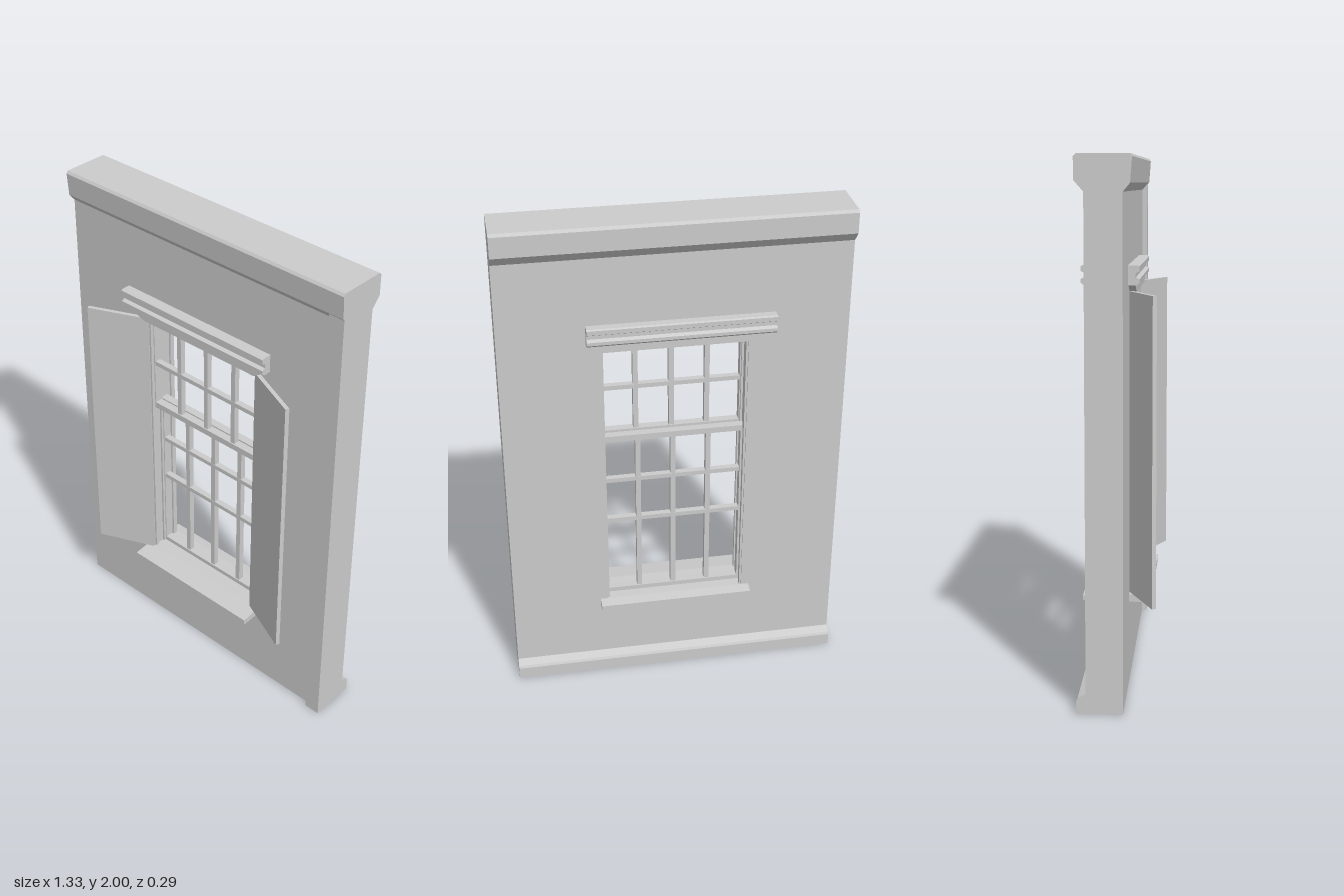
import * as THREE from 'three';

const material = new THREE.MeshStandardMaterial({ color: 0xcccccc, flatShading: true });

const HALF = 0.665;                    // half width of the wall
const FRONT = 0.035, BACK = -0.1;      // wall faces
const OPEN_X = 0.28, OPEN_LOW = 0.345, OPEN_HIGH = 1.5;

function addMesh(parent, name, geometry) {
  const mesh = new THREE.Mesh(geometry, material);
  mesh.name = name;
  parent.add(mesh);
  return mesh;
}

// Box given by its limits on each axis
function addBox(parent, name, x0, x1, y0, y1, z0, z1) {
  const mesh = addMesh(parent, name, new THREE.BoxGeometry(x1 - x0, y1 - y0, z1 - z0));
  mesh.position.set((x0 + x1) / 2, (y0 + y1) / 2, (z0 + z1) / 2);
  return mesh;
}

function polygon(points) {
  return new THREE.Shape(points.map(([a, b]) => new THREE.Vector2(a, b)));
}

// Moulding: a (z, y) profile run along x
function addMoulding(parent, name, profile, x0, x1) {
  const geometry = new THREE.ExtrudeGeometry(polygon(profile), { depth: x1 - x0, bevelEnabled: false });
  geometry.rotateY(-Math.PI / 2);
  geometry.translate(x1, 0, 0);
  return addMesh(parent, name, geometry);
}

// One sash: a rail at each end, stiles and glazing bars
function addSash(parent, name, rails, bars, z0, z1) {
  const sash = new THREE.Group();
  sash.name = name;
  const low = rails[0][0], high = rails[1][1];
  for (const [a, b] of rails) addBox(sash, 'sashRail', -OPEN_X, OPEN_X, a, b, z0, z1);
  for (const y of bars) addBox(sash, 'horizontalBar', -OPEN_X, OPEN_X, y - 0.009, y + 0.009, z0 + 0.004, z1 - 0.004);
  for (const x of [-0.14, 0, 0.14]) addBox(sash, 'verticalBar', x - 0.01, x + 0.01, low, high, z0 + 0.005, z1 - 0.005);
  for (const x of [-0.274, 0.274]) addBox(sash, 'sashStile', x - 0.006, x + 0.006, low, high, z0, z1);
  parent.add(sash);
}

export function createModel() {
  const model = new THREE.Group();
  model.name = 'wallWithWindow';

  // Wall with the window opening
  const wall = polygon([[-HALF, 0], [HALF, 0], [HALF, 2], [-HALF, 2]]);
  wall.holes.push(polygon([[-OPEN_X, OPEN_LOW], [-OPEN_X, OPEN_HIGH], [OPEN_X, OPEN_HIGH], [OPEN_X, OPEN_LOW]]));
  const wallGeometry = new THREE.ExtrudeGeometry(wall, { depth: FRONT - BACK, bevelEnabled: false });
  wallGeometry.translate(0, 0, BACK);
  addMesh(model, 'wall', wallGeometry);

  // Corner board on the front
  addBox(model, 'cornerBoard', 0.6, HALF, 0, 1.99, FRONT - 0.01, 0.055);

  // Cornice on both faces, and the skirting along the back
  addMoulding(model, 'cornice', [
    [FRONT - 0.01, 1.87], [FRONT, 1.87], [0.06, 1.9], [0.067, 1.99], [0.06, 2],
    [-0.125, 2], [-0.135, 1.99], [-0.135, 1.91], [BACK, 1.87],
  ], -HALF, HALF);
  addMoulding(model, 'skirting', [
    [BACK + 0.01, 0], [BACK + 0.01, 0.078], [BACK, 0.075], [-0.13, 0.06], [-0.135, 0.05], [-0.135, 0],
  ], -HALF, HALF);

  // Stepped window head, repeated front and back
  const heads = [['frontHead', FRONT, 0.077, 1], ['backHead', BACK, -0.138, -1]];
  for (const [name, face, edge, dir] of heads) {
    const head = new THREE.Group();
    head.name = name;
    const profile = [
      [face - dir * 0.005, 1.53], [edge - dir * 0.012, 1.53], [edge, 1.54], [edge, 1.553],
      [edge - dir * 0.014, 1.56], [edge - dir * 0.014, 1.575], [edge, 1.583], [edge, 1.6],
      [edge - dir * 0.006, 1.604], [face - dir * 0.005, 1.604],
    ];
    addMoulding(head, 'headMoulding', profile, -0.38, 0.335);
    // Tapered block under the moulding
    const depth = Math.abs(edge - face) - 0.016;
    const taper = new THREE.ExtrudeGeometry(
      polygon([[-OPEN_X, 1.5], [OPEN_X, 1.5], [0.325, 1.53], [-0.36, 1.53]]), { depth, bevelEnabled: false });
    taper.translate(0, 0, dir > 0 ? face : face - depth);
    addMesh(head, 'headBlock', taper);
    model.add(head);
  }

  // Sill running through the opening
  addMoulding(model, 'sill', [
    [-0.143, 0.32], [-0.143, 0.338], [BACK, 0.345], [FRONT, 0.347], [0.118, 0.338], [0.118, 0.314], [FRONT, 0.318],
  ], -0.31, 0.31);

  // Window frame lining and parting stops
  for (const side of [-1, 1]) {
    const inner = side * 0.272, outer = side * 0.283;
    for (const [z0, z1] of [[-0.095, -0.075], [-0.025, -0.015], [0.018, 0.032]]) {
      addBox(model, 'frameStop', Math.min(inner, outer), Math.max(inner, outer), OPEN_LOW, OPEN_HIGH, z0, z1);
    }
  }
  addBox(model, 'frameHead', -OPEN_X, OPEN_X, 1.482, 1.502, -0.09, 0.03);

  // Upper sash outside, lower sash inside
  addSash(model, 'upperSash', [[1.075, 1.1], [1.466, 1.49]], [1.285], -0.015, 0.018);
  addSash(model, 'lowerSash', [[0.345, 0.364], [1.072, 1.096]], [0.7, 0.89], -0.058, -0.025);

  // Shutters swung open
  for (const side of [-1, 1]) {
    const shutter = new THREE.Group();
    shutter.name = side > 0 ? 'leftShutter' : 'rightShutter';
    addBox(shutter, 'shutterPanel', Math.min(0, side * 0.249), Math.max(0, side * 0.249), 0.35, 1.503, 0, 0.016);
    shutter.position.set(side * 0.281, 0, 0.032);
    shutter.rotation.y = -side * 0.41;
    model.add(shutter);
  }

  return model;
}
